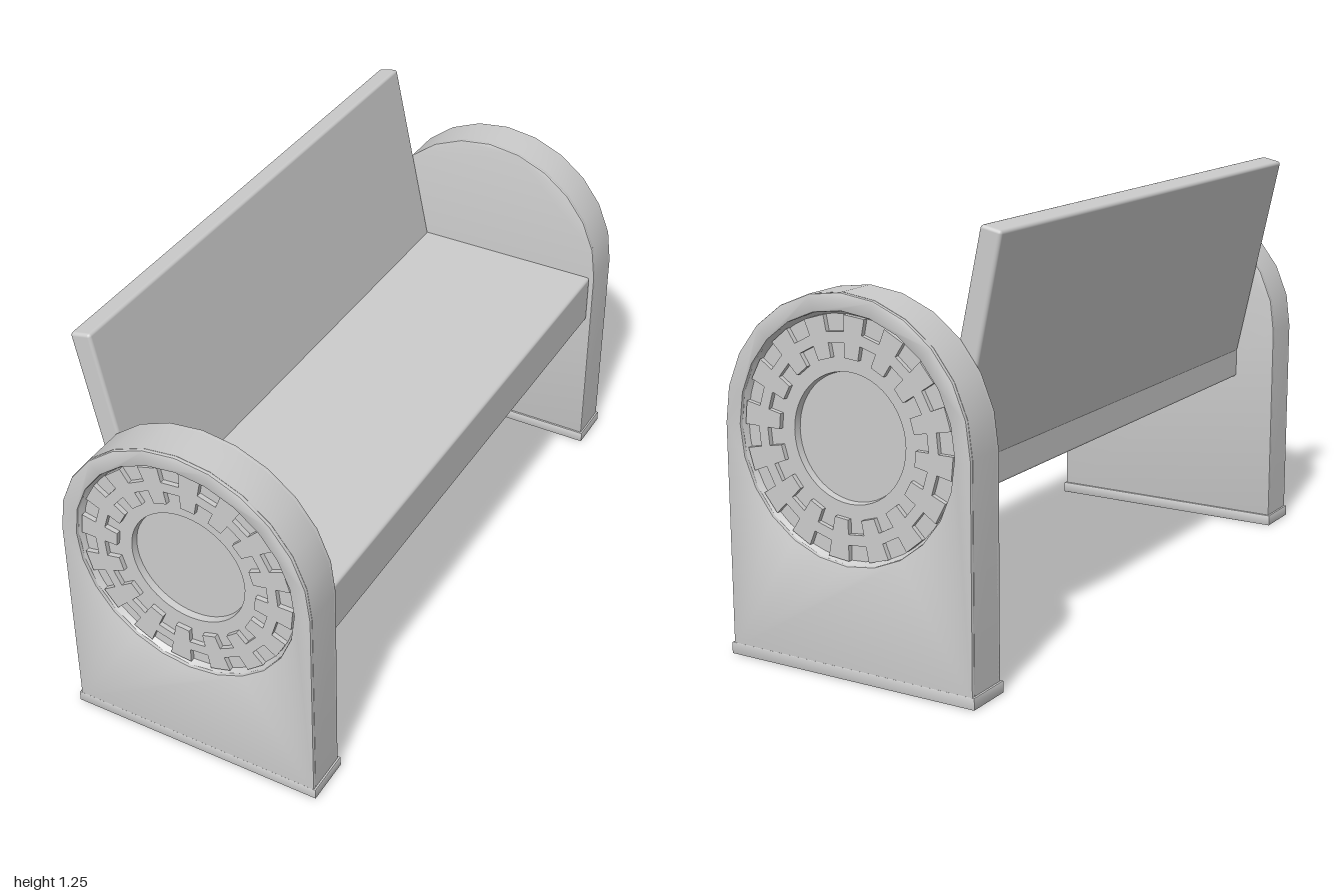
import * as THREE from 'three';
import { RoundedBoxGeometry } from 'three/addons/geometries/RoundedBoxGeometry.js';
import { toCreasedNormals } from 'three/addons/utils/BufferGeometryUtils.js';

const material = new THREE.MeshStandardMaterial({ color: 0xcccccc });
const thin = new THREE.MeshStandardMaterial({ color: 0xcccccc, side: THREE.DoubleSide });
const AXLE = 0.67; // height of the arch and wheel centre

function add(parent, name, geometry, mat = material) {
  const mesh = new THREE.Mesh(geometry, mat);
  mesh.name = name;
  parent.add(mesh);
  return mesh;
}

// Round-topped outline, from lower right over the arch to lower left
function archPoints(r, bottom) {
  const points = [new THREE.Vector2(r, bottom)];
  for (let i = 0; i <= 12; i++) {
    const a = (i / 12) * Math.PI;
    points.push(new THREE.Vector2(r * Math.cos(a), AXLE + r * Math.sin(a)));
  }
  points.push(new THREE.Vector2(-r, bottom));
  return points;
}

function circlePoints(r, n) {
  return Array.from({ length: n }, (_, i) => {
    const a = (i / n) * Math.PI * 2;
    return new THREE.Vector2(r * Math.cos(a), AXLE + r * Math.sin(a));
  });
}

// Square-toothed outline: radius a on one half of each pitch, b on the other
function toothedPoints(a, b, teeth = 16) {
  const points = [];
  for (let i = 0; i < teeth * 2; i++) {
    const r = i % 2 ? a : b;
    for (const k of [i, i + 1]) {
      const t = (k / (teeth * 2)) * Math.PI * 2;
      points.push(new THREE.Vector2(r * Math.cos(t), r * Math.sin(t)));
    }
  }
  return points;
}

function extrude(shape, depth, z, bevel = 0) {
  const g = new THREE.ExtrudeGeometry(shape, {
    depth: depth - bevel * 2, bevelEnabled: bevel > 0,
    bevelSize: bevel, bevelThickness: bevel, bevelOffset: -bevel, bevelSegments: 2,
  });
  g.translate(0, 0, z + bevel);
  return toCreasedNormals(g, 0.5);
}

function createEnd() {
  const end = new THREE.Group();

  // Hollow panel: outer face, inner face and the band joining them
  const face = new THREE.Shape(archPoints(0.395, 0.015));
  face.holes.push(new THREE.Path(circlePoints(0.345, 24)));
  add(end, 'outerFace', extrude(face, 0.014, 0.985, 0.005));
  add(end, 'innerFace', extrude(new THREE.Shape(archPoints(0.395, 0.015)), 0.014, 0.862, 0.003));
  const band = new THREE.Shape([...archPoints(0.395, 0.015), ...archPoints(0.38, 0.015).reverse()]);
  add(end, 'edgeBand', extrude(band, 0.116, 0.872));

  // Sunken dish with a deeper hub
  const profile = [[0, -0.045], [0.177, -0.045], [0.18, -0.025], [0.335, -0.025], [0.346, -0.006]]
    .map(([r, y]) => new THREE.Vector2(r, y));
  const dish = new THREE.LatheGeometry(profile, 48);
  dish.rotateX(Math.PI / 2);
  add(end, 'wheelDish', toCreasedNormals(dish, 0.5), thin).position.set(0, AXLE, 0.998);

  // Raised ring with teeth on both rims
  const gear = new THREE.Shape(toothedPoints(0.335, 0.29));
  gear.holes.push(new THREE.Path(toothedPoints(0.22, 0.26)));
  add(end, 'toothedRing', extrude(gear, 0.02, 0.967)).position.y = AXLE;

  // Foot band, open underneath
  const rect = (x, z0, z1) => [[-x, z0], [x, z0], [x, z1], [-x, z1]]
    .map(([px, pz]) => new THREE.Vector2(px, pz));
  const foot = new THREE.Shape(rect(0.401, -1, -0.856));
  foot.holes.push(new THREE.Path(rect(0.381, -0.985, -0.874)));
  const footGeo = extrude(foot, 0.035, 0, 0.003);
  footGeo.rotateX(-Math.PI / 2);
  add(end, 'footBand', footGeo);
  return end;
}

export function createModel() {
  const model = new THREE.Group();
  model.name = 'bench';

  // Matching ends, each facing outward
  for (const [name, turn] of [['frontEnd', 0], ['backEnd', Math.PI]]) {
    const end = createEnd();
    end.name = name;
    end.rotation.y = turn;
    model.add(end);
  }

  // Seat slab
  add(model, 'seat', new RoundedBoxGeometry(0.645, 0.165, 1.73, 2, 0.01))
    .position.set(0.0575, 0.5875, 0);

  // Leaning backrest, its lower end sunk into the seat
  const tilt = 0.213, length = 0.66;
  const back = add(model, 'backrest', new RoundedBoxGeometry(0.066, length, 1.726, 2, 0.01));
  back.rotation.z = tilt;
  back.position.set(-0.373 + Math.sin(tilt) * length / 2, 1.244 - Math.cos(tilt) * length / 2, 0);
  return model;
}
